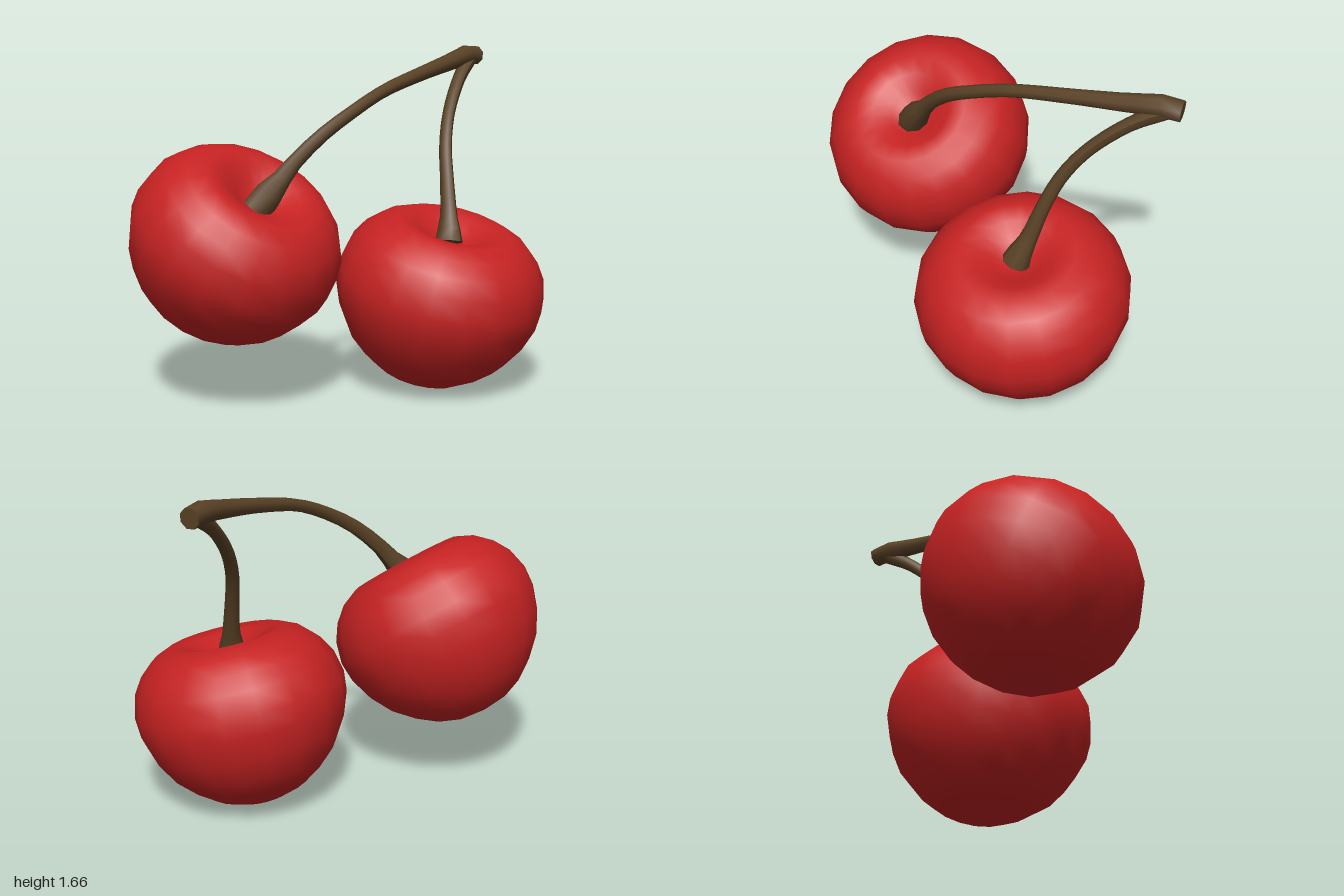
import * as THREE from 'three';

const red = new THREE.MeshStandardMaterial({ color: 0xc62222 });
const brown = new THREE.MeshStandardMaterial({ color: 0x5a4226 });

// Half section of a fruit, from the bottom up over the rim into the dimple
const profile = [
  [0, -0.46], [0.13, -0.445], [0.23, -0.405], [0.32, -0.34], [0.41, -0.25], [0.475, -0.14],
  [0.515, -0.02], [0.522, 0.08], [0.495, 0.19], [0.445, 0.27], [0.375, 0.335], [0.285, 0.376],
  [0.2, 0.36], [0.12, 0.31], [0.05, 0.275], [0, 0.27],
].map(([r, y]) => new THREE.Vector2(r, y));

function makeFruit(name, position, tilt) {
  const fruit = new THREE.Mesh(new THREE.LatheGeometry(profile, 18), red);
  fruit.name = name;
  fruit.position.set(...position);
  fruit.rotation.x = tilt;
  return fruit;
}

// Tapered tube; each row is x, y, z, radius
function makeStem(name, rows) {
  const curve = new THREE.CatmullRomCurve3(rows.map(([x, y, z]) => new THREE.Vector3(x, y, z)));
  const rings = 18, sides = 8;
  const geo = new THREE.TubeGeometry(curve, rings, 1, sides);
  const pos = geo.attributes.position;
  const radiusAt = (u) => {
    const t = curve.getUtoTmapping(u) * (rows.length - 1);
    const i = Math.min(Math.floor(t), rows.length - 2);
    return THREE.MathUtils.lerp(rows[i][3], rows[i + 1][3], t - i);
  };
  const v = new THREE.Vector3();
  for (let i = 0; i <= rings; i++) {
    const centre = curve.getPointAt(i / rings), r = radiusAt(i / rings);
    for (let j = 0; j <= sides; j++) {
      const k = i * (sides + 1) + j;
      v.fromBufferAttribute(pos, k).sub(centre).multiplyScalar(r).add(centre);
      pos.setXYZ(k, v.x, v.y, v.z);
    }
  }
  geo.computeVertexNormals();
  const stem = new THREE.Group();
  stem.name = name;
  const tube = new THREE.Mesh(geo, brown);
  tube.name = name + 'Tube';
  stem.add(tube);

  // Flat caps reuse the end rings of the tube
  for (const end of [0, 1]) {
    const centre = curve.getPointAt(end);
    const points = [centre];
    for (let j = 0; j <= sides; j++) {
      points.push(new THREE.Vector3().fromBufferAttribute(pos, end * rings * (sides + 1) + j));
    }
    const index = [];
    for (let j = 1; j <= sides; j++) index.push(0, j, j + 1);
    const cap = new THREE.BufferGeometry().setFromPoints(points);
    cap.setIndex(index);
    cap.computeVertexNormals();
    const n = new THREE.Vector3().fromBufferAttribute(cap.attributes.normal, 0);
    if (n.dot(curve.getTangentAt(end)) * (end ? 1 : -1) < 0) {
      cap.setIndex(index.reverse());
      cap.computeVertexNormals();
    }
    const mesh = new THREE.Mesh(cap, brown);
    mesh.name = name + (end ? 'TipCap' : 'BaseCap');
    stem.add(mesh);
  }
  return stem;
}

export function createModel() {
  const model = new THREE.Group();
  model.name = 'cherryPair';
  model.add(
    makeFruit('leftCherry', [0.36, 0.46, 0.285], THREE.MathUtils.degToRad(15)),
    makeFruit('rightCherry', [-0.48, 0.757, -0.325], THREE.MathUtils.degToRad(35)),
    // Long stem, ending in the thick joint
    makeStem('rightStem', [
      [-0.49, 0.96, -0.15, 0.075], [-0.465, 1.01, -0.125, 0.08], [-0.41, 1.08, -0.09, 0.05],
      [-0.33, 1.18, -0.05, 0.038], [-0.2, 1.3, 0.01, 0.034], [-0.05, 1.39, 0.055, 0.032],
      [0.17, 1.48, 0.08, 0.031], [0.5, 1.55, 0.085, 0.036], [0.75, 1.59, 0.075, 0.044],
      [0.9, 1.612, 0.06, 0.052], [0.99, 1.605, 0.05, 0.05],
    ]),
    // Short stem, running into the joint
    makeStem('leftStem', [
      [0.35, 0.74, 0.355, 0.07], [0.365, 0.79, 0.345, 0.06], [0.395, 0.87, 0.32, 0.042],
      [0.44, 1.03, 0.275, 0.035], [0.5, 1.19, 0.22, 0.032], [0.6, 1.34, 0.165, 0.031],
      [0.77, 1.5, 0.105, 0.033], [0.92, 1.595, 0.065, 0.04],
    ]),
  );
  return model;
}
